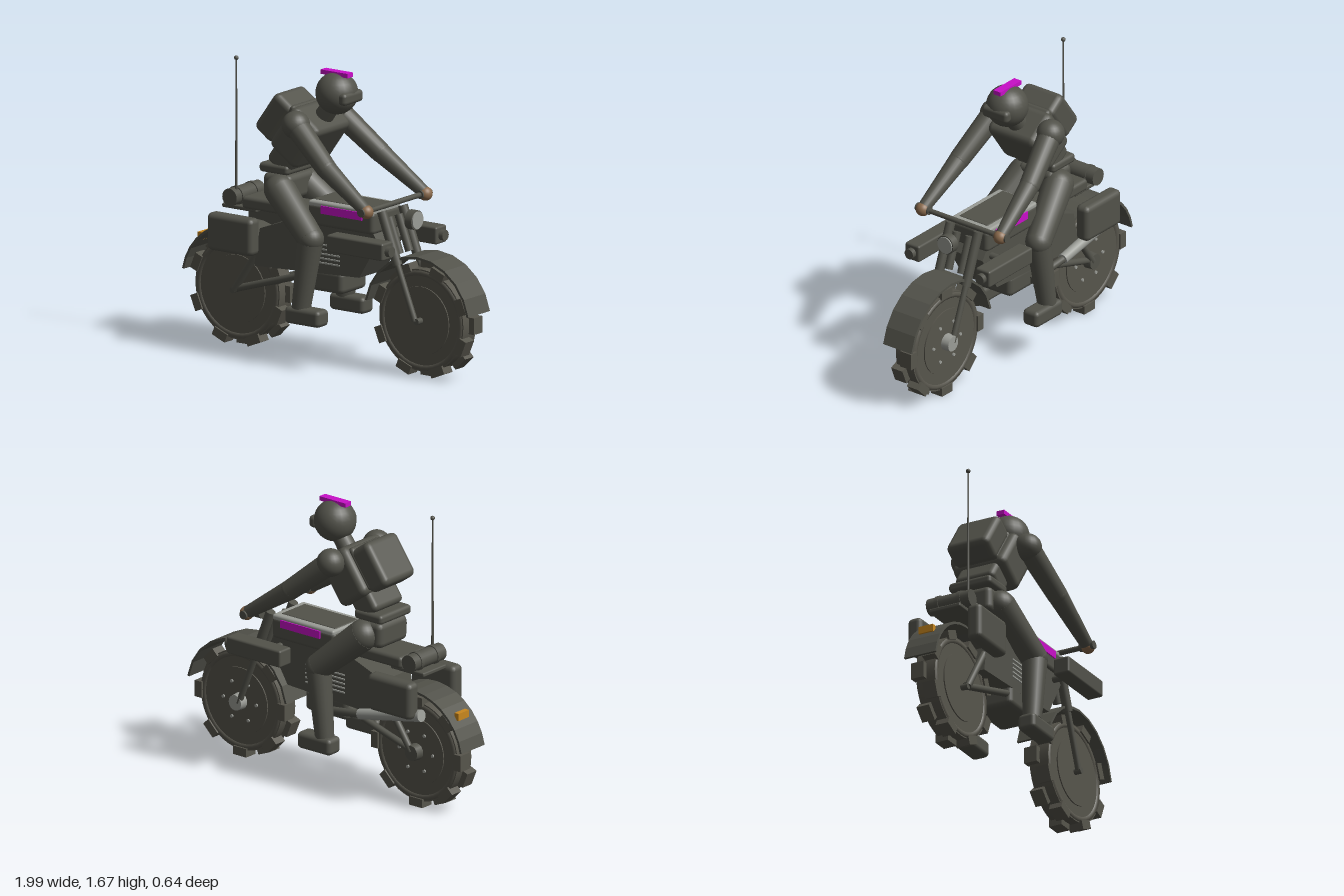
import * as THREE from 'three';
import { RoundedBoxGeometry } from 'three/addons/geometries/RoundedBoxGeometry.js';

const mat = (name, color) => {
  const m = new THREE.MeshStandardMaterial({ color });
  m.name = name;
  return m;
};

export function createModel() {
  const dark = mat('dark olive', 0x52524a);
  const tyre = mat('tyre grey', 0x57554c);
  const light = mat('light metal', 0x9a9c96);
  const magenta = mat('magenta', 0xc80fc8);
  const orange = mat('orange', 0xc8871e);
  const skin = mat('brown glove', 0x8a6a4c);

  const model = new THREE.Group();
  model.name = 'motorcycleAndRider';
  const motorcycle = new THREE.Group();
  motorcycle.name = 'motorcycle';
  const rider = new THREE.Group();
  rider.name = 'rider';
  model.add(motorcycle, rider);

  const add = (parent, name, geo, material, x = 0, y = 0, z = 0) => {
    const m = new THREE.Mesh(geo, material);
    m.name = name;
    m.position.set(x, y, z);
    parent.add(m);
    return m;
  };
  const box = (p, name, m, w, h, d, x, y, z) =>
    add(p, name, new THREE.BoxGeometry(w, h, d), m, x, y, z);
  const soft = (p, name, m, w, h, d, x, y, z, r = 0.025, tilt = 0) => {
    const b = add(p, name, new RoundedBoxGeometry(w, h, d, 2, r), m, x, y, z);
    b.rotation.z = tilt;
    return b;
  };
  const ball = (p, name, m, r, x, y, z) =>
    add(p, name, new THREE.SphereGeometry(r, 24, 16), m, x, y, z);
  // Tapered rod from point a (radius ra) to point b (radius rb)
  const rod = (p, name, m, a, b, ra, rb = ra, sides = 16) => {
    const A = new THREE.Vector3(...a), B = new THREE.Vector3(...b);
    const dir = B.clone().sub(A);
    const c = add(p, name, new THREE.CylinderGeometry(rb, ra, dir.length(), sides), m);
    c.position.copy(A).addScaledVector(dir, 0.5);
    c.quaternion.setFromUnitVectors(new THREE.Vector3(0, 1, 0), dir.normalize());
    return c;
  };

  // Wheels: tyre, staggered tread blocks, disc, hub and bolts
  const wheel = (name, x, hubMaterial) => {
    const w = new THREE.Group();
    w.name = name;
    w.position.set(x, 0.325, 0);
    motorcycle.add(w);
    rod(w, 'tyre', tyre, [0, 0, -0.06], [0, 0, 0.06], 0.292, 0.292, 40);
    for (const s of [-1, 1]) {
      const bead = add(w, 'tyreBead', new THREE.TorusGeometry(0.27, 0.02, 8, 40), tyre, 0, 0, s * 0.05);
      bead.scale.z = 0.8;
      rod(w, 'rimDisc', tyre, [0, 0, s * 0.05], [0, 0, s * 0.067], 0.195, 0.195, 32);
    }
    for (let i = 0; i < 16; i++) {
      const a = (i / 16) * Math.PI * 2;
      const t = box(w, 'treadBlock', tyre, 0.05, 0.095, 0.08,
        Math.cos(a) * 0.3, Math.sin(a) * 0.3, i % 2 ? 0.034 : -0.034);
      t.rotation.z = a;
    }
    rod(w, 'hub', hubMaterial, [0, 0, -0.06], [0, 0, -0.115], 0.05, 0.045);
    rod(w, 'axle', dark, [0, 0, -0.11], [0, 0, 0.11], 0.018);
    for (let i = 0; i < 6; i++) {
      const a = (i / 6) * Math.PI * 2;
      const c = Math.cos(a) * 0.12, d = Math.sin(a) * 0.12;
      rod(w, 'bolt', light, [c, d, -0.06], [c, d, -0.076], 0.01, 0.01, 6);
    }
  };
  wheel('rearWheel', -0.64, dark);
  wheel('frontWheel', 0.636, light);

  // Mudguards: thin faceted arches
  const fender = (name, x, from, to) => {
    const s = new THREE.Shape(), n = 10;
    const pt = (r, i) => {
      const a = THREE.MathUtils.degToRad(from + ((to - from) * i) / n);
      return [Math.cos(a) * r, Math.sin(a) * r];
    };
    s.moveTo(...pt(0.366, 0));
    for (let i = 1; i <= n; i++) s.lineTo(...pt(0.366, i));
    for (let i = n; i >= 0; i--) s.lineTo(...pt(0.352, i));
    const g = new THREE.ExtrudeGeometry(s, { depth: 0.2, bevelEnabled: false });
    add(motorcycle, name, g, dark, x, 0.33, -0.1);
  };
  fender('frontFender', 0.634, 11, 169);
  fender('rearFender', -0.636, 60, 169);
  box(motorcycle, 'tailLight', orange, 0.03, 0.042, 0.09, -0.912, 0.585, 0);

  // Main body
  const hull = new THREE.Shape([[-0.48, 0.49], [0.25, 0.525], [0.38, 0.74], [0.34, 0.8],
    [-0.2, 0.8], [-0.44, 0.71]].map(p => new THREE.Vector2(...p)));
  add(motorcycle, 'body', new THREE.ExtrudeGeometry(hull, { depth: 0.24, bevelEnabled: false }),
    dark, 0, 0, -0.12);
  soft(motorcycle, 'tank', dark, 0.455, 0.13, 0.27, 0.128, 0.847, 0);
  soft(motorcycle, 'tankTop', light, 0.445, 0.035, 0.272, 0.128, 0.908, 0, 0.014);
  soft(motorcycle, 'tankPad', dark, 0.39, 0.02, 0.2, 0.115, 0.92, 0, 0.006);
  soft(motorcycle, 'seat', dark, 0.5, 0.07, 0.24, -0.32, 0.84, 0, 0.02);
  soft(motorcycle, 'engine', dark, 0.31, 0.13, 0.24, -0.025, 0.47, 0, 0.03);

  // Exhaust on the right-hand flank
  rod(motorcycle, 'exhaustPipe', dark, [-0.05, 0.45, -0.13], [-0.32, 0.49, -0.15], 0.022);
  rod(motorcycle, 'muffler', light, [-0.3, 0.49, -0.152], [-0.75, 0.585, -0.155], 0.03, 0.035);

  // Luggage roll with straps, and aerial
  rod(motorcycle, 'luggageRoll', dark, [-0.64, 0.86, -0.135], [-0.64, 0.86, 0.135], 0.05, 0.05, 20);
  for (const z of [-0.07, 0.07])
    rod(motorcycle, 'rollStrap', dark, [-0.64, 0.86, z - 0.012], [-0.64, 0.86, z + 0.012], 0.055, 0.055, 20);
  soft(motorcycle, 'rack', dark, 0.24, 0.025, 0.2, -0.6, 0.8, 0, 0.008);
  rod(motorcycle, 'aerial', dark, [-0.62, 0.86, 0.097], [-0.62, 1.65, 0.097], 0.008, 0.004, 8);
  ball(motorcycle, 'aerialTip', dark, 0.013, -0.62, 1.655, 0.097);

  // Mirrored motorcycle parts
  for (const s of [-1, 1]) {
    box(motorcycle, 'tankStripe', magenta, 0.285, 0.045, 0.009, 0.142, 0.883, s * 0.139);
    for (let i = 0; i < 5; i++)
      box(motorcycle, 'vent', light, 0.285, 0.008, 0.009, -0.025, 0.575 + i * 0.026, s * 0.123);
    soft(motorcycle, 'pannier', dark, 0.315, 0.215, 0.09, -0.573, 0.673, s * 0.19, 0.03);
    rod(motorcycle, 'rearShock', dark, [-0.63, 0.33, s * 0.1], [-0.45, 0.6, s * 0.1], 0.02);
    rod(motorcycle, 'swingArm', dark, [-0.64, 0.33, s * 0.09], [-0.15, 0.48, s * 0.09], 0.02);
    rod(motorcycle, 'forkUpper', dark, [0.39, 0.92, s * 0.098], [0.5, 0.63, s * 0.098], 0.028);
    rod(motorcycle, 'forkLower', dark, [0.5, 0.63, s * 0.098], [0.62, 0.325, s * 0.098], 0.018);
    rod(motorcycle, 'steeringTube', dark, [0.4, 0.88, s * 0.045], [0.475, 0.68, s * 0.045], 0.024);
    soft(motorcycle, 'sidePod', dark, 0.39, 0.1, 0.1, 0.35, 0.743, s * 0.25, 0.012);
    rod(motorcycle, 'podNozzle', dark, [0.53, 0.743, s * 0.25], [0.573, 0.743, s * 0.25], 0.03);
    rod(motorcycle, 'podMount', dark, [0.3, 0.743, s * 0.1], [0.3, 0.743, s * 0.21], 0.02);
    rod(motorcycle, 'gripEnd', dark, [0.408, 0.955, s * 0.23], [0.408, 0.955, s * 0.32], 0.024);
  }
  rod(motorcycle, 'handlebar', dark, [0.408, 0.955, -0.31], [0.408, 0.955, 0.31], 0.015);
  rod(motorcycle, 'headlightShell', dark, [0.515, 0.876, 0], [0.562, 0.876, 0], 0.056, 0.056, 24);
  rod(motorcycle, 'headlightLens', light, [0.56, 0.876, 0], [0.569, 0.876, 0], 0.05, 0.05, 24);

  // Rider's trunk, leaning forward
  const lean = -0.62;
  soft(rider, 'pelvis', dark, 0.19, 0.15, 0.25, -0.33, 0.96, 0, 0.035);
  soft(rider, 'belt', dark, 0.2, 0.055, 0.27, -0.34, 1.065, 0, 0.02);
  soft(rider, 'waist', dark, 0.16, 0.16, 0.25, -0.29, 1.135, 0, 0.03, lean);
  soft(rider, 'chest', dark, 0.225, 0.3, 0.34, -0.18, 1.27, 0, 0.04, lean);
  soft(rider, 'backpack', dark, 0.15, 0.27, 0.27, -0.345, 1.355, 0, 0.035, lean);
  soft(rider, 'backpackFrame', dark, 0.07, 0.26, 0.26, -0.265, 1.325, 0, 0.02, lean);

  // Head
  rod(rider, 'neck', dark, [-0.1, 1.36, 0], [-0.01, 1.48, 0], 0.055, 0.05);
  ball(rider, 'helmet', dark, 0.12, 0.005, 1.525, 0);
  soft(rider, 'goggles', dark, 0.055, 0.07, 0.18, 0.1, 1.513, 0, 0.022);
  box(rider, 'helmetCrest', magenta, 0.188, 0.025, 0.05, 0.005, 1.638, 0);

  // Limbs
  for (const s of [-1, 1]) {
    const shoulder = [-0.13, 1.36, s * 0.2], elbow = [0.12, 1.155, s * 0.25];
    const wrist = [0.41, 0.96, s * 0.275];
    ball(rider, 'shoulder', dark, 0.08, ...shoulder);
    rod(rider, 'upperArm', dark, shoulder, elbow, 0.068, 0.058, 20);
    ball(rider, 'elbow', dark, 0.058, ...elbow);
    rod(rider, 'forearm', dark, elbow, wrist, 0.057, 0.036, 20);
    ball(rider, 'hand', skin, 0.04, 0.415, 0.955, s * 0.275);

    const hip = [-0.3, 0.95, s * 0.12], knee = [-0.035, 0.72, s * 0.19];
    const ankle = [-0.09, 0.32, s * 0.205];
    ball(rider, 'hip', dark, 0.088, ...hip);
    rod(rider, 'thigh', dark, hip, knee, 0.09, 0.075, 20);
    ball(rider, 'knee', dark, 0.075, ...knee);
    rod(rider, 'shin', dark, knee, ankle, 0.072, 0.054, 20);
    soft(rider, 'boot', dark, 0.24, 0.097, 0.108, -0.05, 0.281, s * 0.208, 0.025);
  }
  return model;
}
